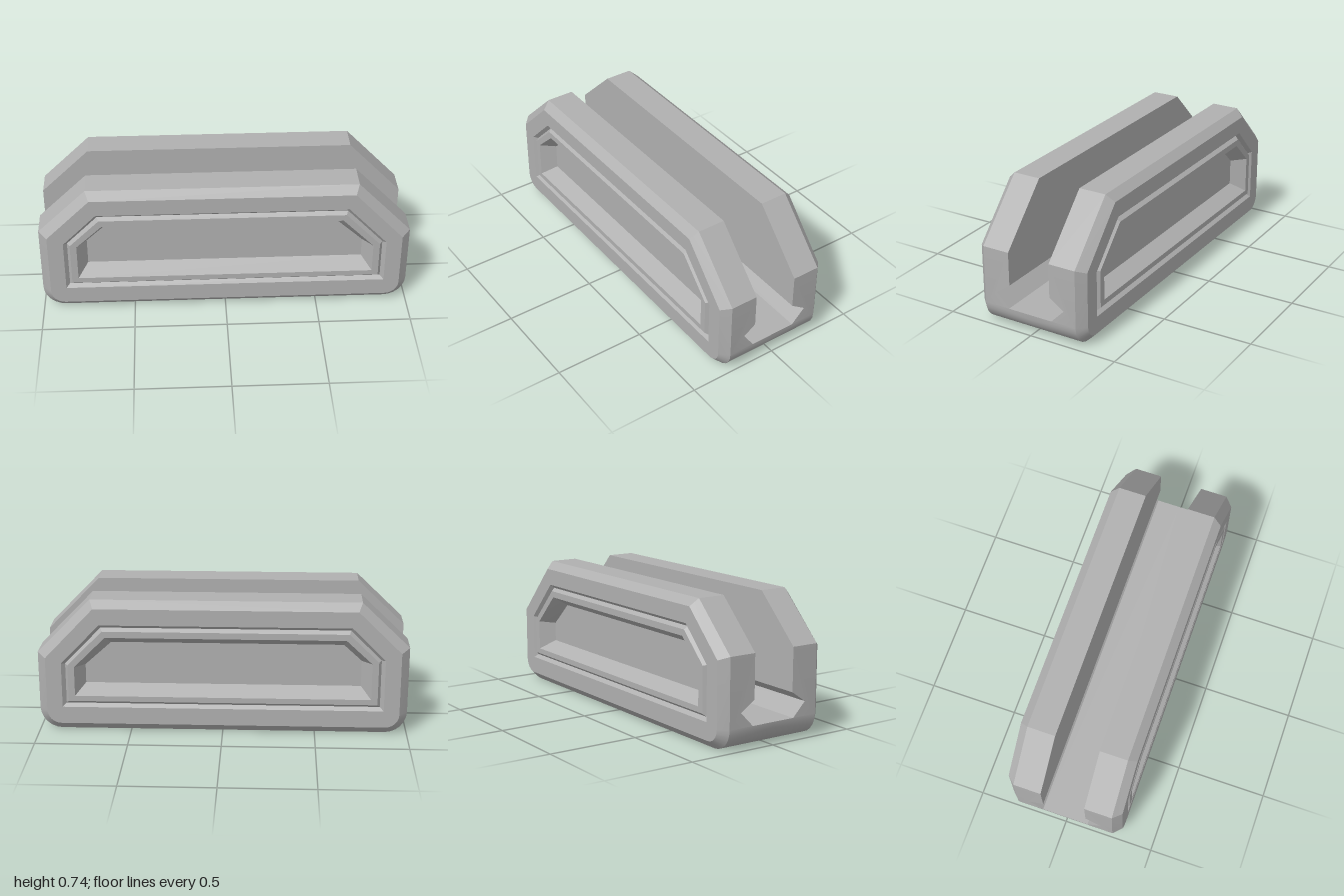
import * as THREE from 'three';
import { mergeGeometries, toCreasedNormals } from 'three/addons/utils/BufferGeometryUtils.js';

const Z_EDGE = 0.275, Z_FACE = 0.32, Z_SLOT = 0.122, Y_SLOT = 0.255, R_Y = 0.12;

// Flat quads from corner lists, counter-clockwise from outside
function quads(list) {
  const pos = [];
  for (const [a, b, c, d] of list) pos.push(...a, ...b, ...c, ...a, ...c, ...d);
  const g = new THREE.BufferGeometry();
  g.setAttribute('position', new THREE.Float32BufferAttribute(pos, 3));
  return g;
}

// Strip between two matching closed outlines, outer first
function ring(outer, zo, inner, zi) {
  return quads(outer.map((p, i) => {
    const j = (i + 1) % outer.length;
    return [[...p, zo], [...outer[j], zo], [...inner[j], zi], [...inner[i], zi]];
  }));
}

// Flat polygon with an optional hole, turned about y by `turn`
function plate(points, z, hole, turn = 0) {
  const vec = (list) => list.map(([x, y]) => new THREE.Vector2(x, y));
  const shape = new THREE.Shape(vec(points));
  if (hole) shape.holes.push(new THREE.Path(vec(hole)));
  const g = new THREE.ShapeGeometry(shape).toNonIndexed();
  g.deleteAttribute('uv');
  g.deleteAttribute('normal');
  return g.translate(0, 0, z).rotateY(turn);
}

// Mirror across z = 0 and restore the winding
function mirrorZ(source) {
  const g = source.clone();
  const p = g.attributes.position.array;
  for (let i = 0; i < p.length; i += 9) {
    for (let k = 2; k < 9; k += 3) p[i + k] *= -1;
    for (let k = 3; k < 6; k++) [p[i + k], p[i + k + 3]] = [p[i + k + 3], p[i + k]];
  }
  return g;
}

// Body outline: sloped top corners, rounded bottom corners
function bodyOutline(top, radius) {
  const arc = (cx, start) => Array.from({ length: 7 }, (_, i) => {
    const a = start + (i / 6) * Math.PI / 2;
    return [cx + radius * Math.cos(a), R_Y + radius * Math.sin(a)];
  });
  return [...top, ...arc(-0.88, Math.PI), ...arc(0.88, Math.PI * 1.5)];
}

// Six-sided outline used by the groove and the recess
const panel = (x, bottom, top, leftY, rightY, leftX, rightX) =>
  [[x, bottom], [x, rightY], [rightX, top], [leftX, top], [-x, leftY], [-x, bottom]];

export function createModel() {
  const gray = new THREE.MeshStandardMaterial({ color: 0xb0b0b0 });
  gray.name = 'gray';
  const model = new THREE.Group();
  model.name = 'slottedBlock';

  const topOuter = [[1, 0.44], [0.71, 0.74], [-0.74, 0.74], [-1, 0.49]];
  const topInner = [[0.955, 0.42], [0.69, 0.7], [-0.72, 0.7], [-0.955, 0.47]];
  const outer = bodyOutline(topOuter, 0.12);
  const inner = bodyOutline(topInner, 0.075);

  const grooveOuter = panel(0.87, 0.14, 0.61, 0.43, 0.39, -0.69, 0.66);
  const grooveMid = panel(0.85, 0.158, 0.592, 0.425, 0.385, -0.682, 0.652);
  const grooveInner = panel(0.835, 0.175, 0.575, 0.42, 0.38, -0.675, 0.645);
  const recessRim = panel(0.8, 0.205, 0.54, 0.41, 0.37, -0.66, 0.63);
  const recessFloor = panel(0.748, 0.255, 0.49, 0.4, 0.36, -0.65, 0.605);

  // Outer band: sloped and flat top edges stop at the slot, the base spans it
  const band = [];
  for (let i = 0; i < outer.length - 1; i++) {
    if (i === 3) continue;
    const a = outer[i], b = outer[i + 1], z = i < 3 ? Z_SLOT : 0;
    band.push([[...a, z], [...b, z], [...b, Z_EDGE], [...a, Z_EDGE]]);
  }

  // End walls with the undercut of the slot, as [z, y]
  const endWall = (side, top) => plate(
    [[0.13, R_Y], [Z_EDGE, R_Y], [Z_EDGE, top], [Z_SLOT, top], [Z_SLOT, Y_SLOT], [0.205, 0.197]]
      .map(([z, y]) => [-side * z, y]), 1, null, side * Math.PI / 2);

  // Slot: upright wall, undercut and floor
  const slotWall = plate([[1, Y_SLOT], ...topOuter, [-1, Y_SLOT]].map(([x, y]) => [-x, y]),
    -Z_SLOT, null, Math.PI);
  const cut = [[Y_SLOT, Z_SLOT], [0.197, 0.205], [R_Y, 0.13], [R_Y, 0]];
  const undercut = quads(cut.slice(1).map((q, i) =>
    [[-1, ...cut[i]], [1, ...cut[i]], [1, ...q], [-1, ...q]]));

  const parts = {
    Shell: [quads(band), endWall(1, 0.44), endWall(-1, 0.49), ring(outer, Z_EDGE, inner, Z_FACE)],
    Slot: [slotWall, undercut],
    Face: [plate(inner, Z_FACE, grooveOuter), ring(grooveInner, Z_FACE, recessRim, Z_FACE)],
    Groove: [ring(grooveOuter, Z_FACE, grooveMid, Z_FACE - 0.02),
      ring(grooveMid, Z_FACE - 0.02, grooveInner, Z_FACE)],
    Recess: [ring(recessRim, Z_FACE, recessFloor, Z_FACE - 0.08),
      plate(recessFloor, Z_FACE - 0.08)],
  };

  // Front half and its mirrored back half
  for (const half of ['front', 'back']) {
    const group = new THREE.Group();
    group.name = half + 'Half';
    for (const [name, pieces] of Object.entries(parts)) {
      let g = mergeGeometries(pieces);
      if (half === 'back') g = mirrorZ(g);
      g.computeVertexNormals();
      const mesh = new THREE.Mesh(toCreasedNormals(g, 0.4), gray);
      mesh.name = half + name;
      group.add(mesh);
    }
    model.add(group);
  }
  return model;
}
